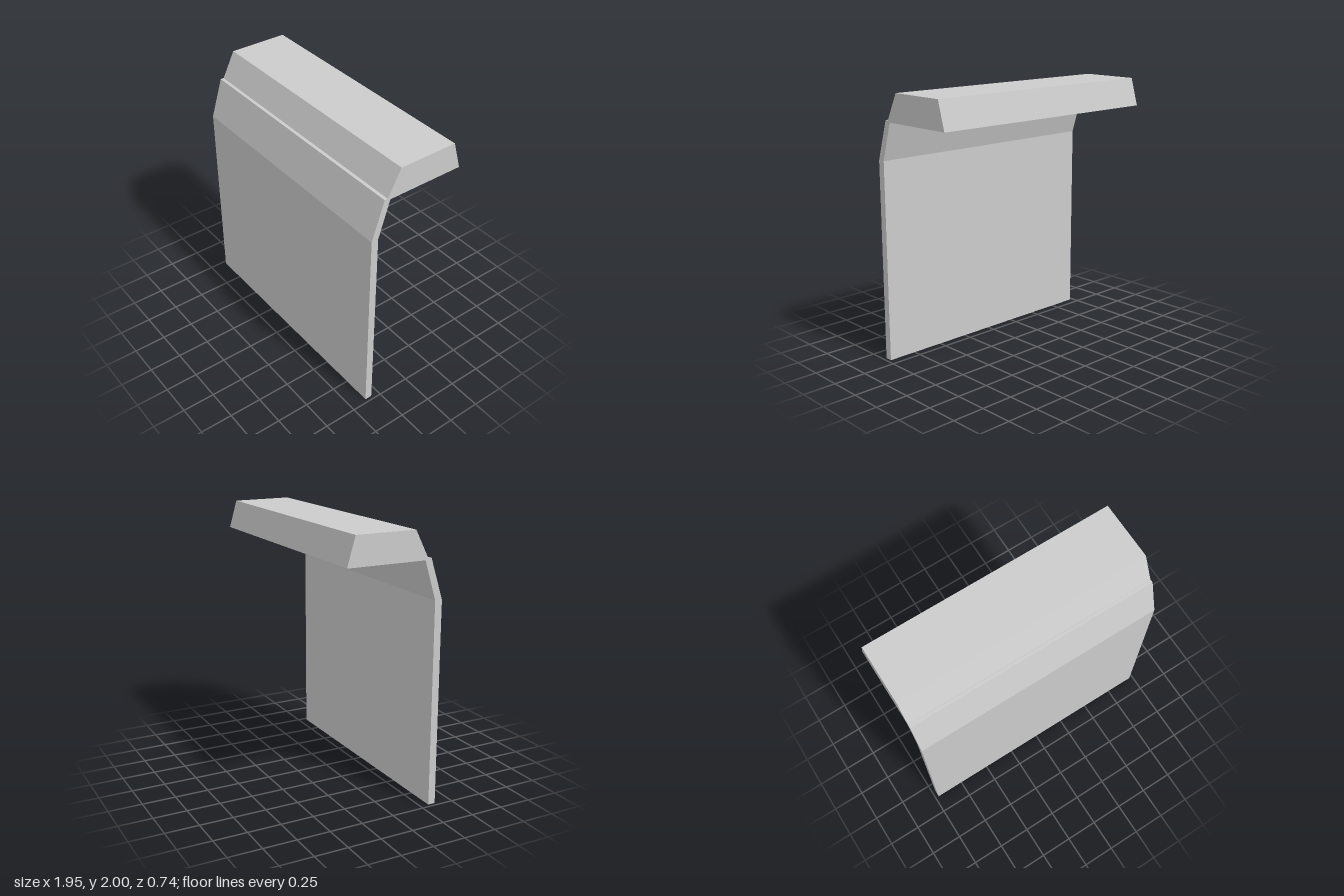
import * as THREE from 'three';

const WIDTH = 1.945;

// Extrudes a side profile of [z, y] points across the full width
function profilePart(name, points) {
  const shape = new THREE.Shape(points.map(([z, y]) => new THREE.Vector2(z, y)));
  const geometry = new THREE.ExtrudeGeometry(shape, { depth: WIDTH, bevelEnabled: false });
  geometry.translate(0, 0, -WIDTH / 2);
  geometry.rotateY(-Math.PI / 2);
  const material = new THREE.MeshStandardMaterial({ color: 0xcccccc, flatShading: true });
  const mesh = new THREE.Mesh(geometry, material);
  mesh.name = name;
  return mesh;
}

export function createModel() {
  const model = new THREE.Group();
  model.name = 'hoodedPanel';

  // Upright sheet, its upper part leaning back under the hood
  model.add(profilePart('frontPanel', [
    [0.315, 0], [0.37, 0], [0.37, 1.507], [0.275, 1.803],
    [0.25, 1.803], [0.228, 1.79], [0.315, 1.507],
  ]));

  // Solid hood with sloping front and back
  model.add(profilePart('topHood', [
    [0.255, 1.79], [0.148, 2], [-0.307, 2], [-0.368, 1.79],
  ]));

  return model;
}
